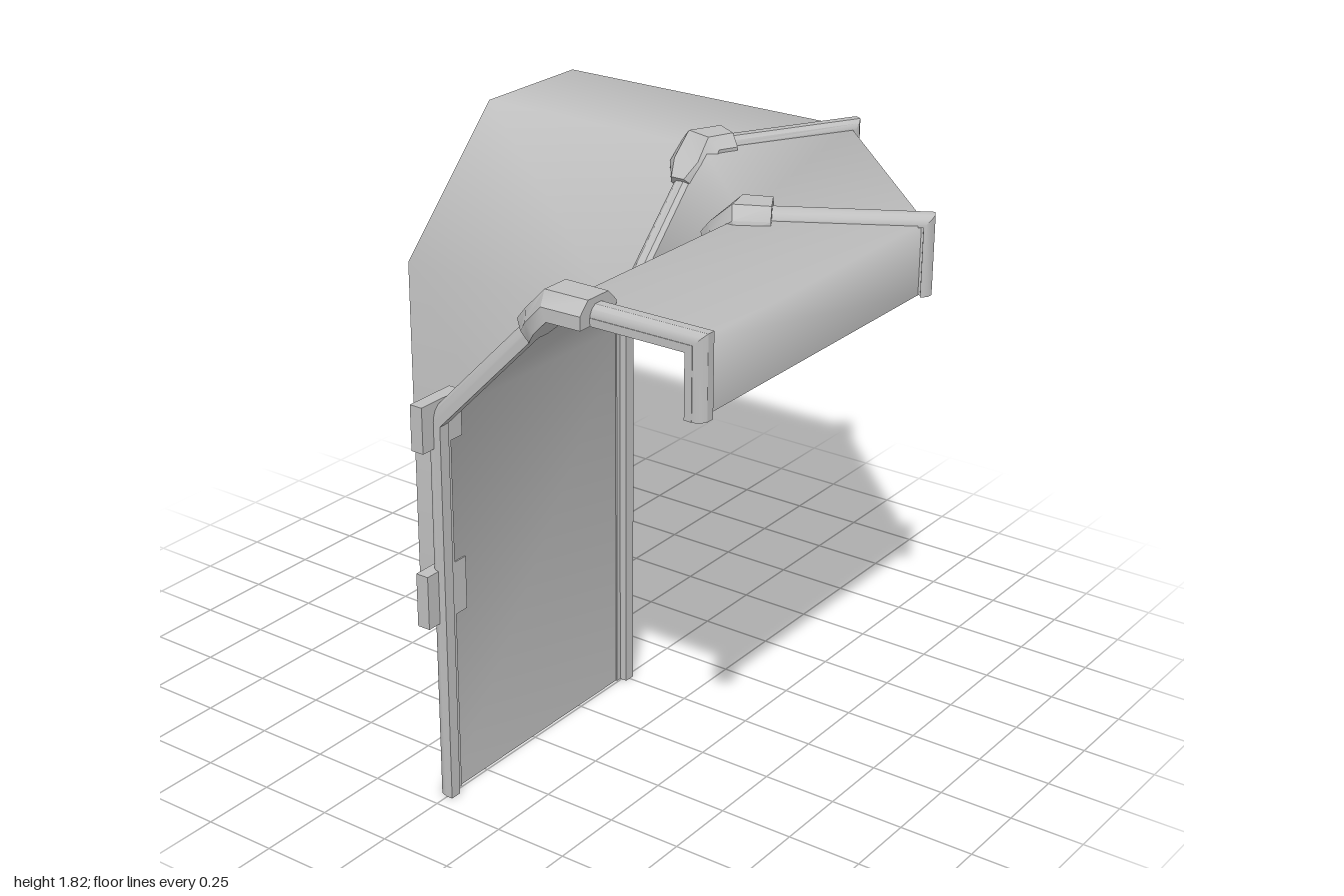
import * as THREE from 'three';
import { toCreasedNormals } from 'three/addons/utils/BufferGeometryUtils.js';

const V = (x, y, z) => new THREE.Vector3(x, y, z);
const UP = V(0, 1, 0);

// Wall line: floor, wall top, roof bend, roof edge, lip bottom
const section = (z, edgeZ) => [
  V(-0.01, 0, z), V(-0.01, 1.3, z), V(0.45, 1.77, z), V(0.93, 1.77, edgeZ), V(0.93, 1.54, edgeZ),
];
// Mirror across the corner diagonal
const mirror = (pts) => pts.map((p) => V(-p.z - 0.05, p.y, -p.x - 0.05));

// Join equal rings of points into a surface, optionally closed with end caps
function loft(rings, closed) {
  const n = rings[0].length, pos = [], idx = [];
  rings.forEach((r) => r.forEach((p) => pos.push(p.x, p.y, p.z)));
  for (let i = 0; i < rings.length - 1; i++) {
    for (let j = 0; j < (closed ? n : n - 1); j++) {
      const k = (j + 1) % n, a = i * n + j, b = i * n + k, c = a + n, d = b + n;
      idx.push(a, b, d, a, d, c);
    }
  }
  if (closed) {
    const ring2d = closed.map(([u, v]) => new THREE.Vector2(u, v));
    const last = (rings.length - 1) * n;
    THREE.ShapeUtils.triangulateShape(ring2d, []).forEach(([a, b, c]) => {
      idx.push(a, c, b, last + a, last + b, last + c);
    });
  }
  const g = new THREE.BufferGeometry();
  g.setAttribute('position', new THREE.Float32BufferAttribute(pos, 3));
  g.setIndex(idx);
  g.computeVertexNormals();
  return g;
}

// Direction, sideways and outward vectors of each leg of a rib path
function legFrames(pts) {
  const dirs = pts.slice(1).map((p, i) => p.clone().sub(pts[i]).normalize());
  const slopeW = V(dirs[1].x, 0, dirs[1].z).normalize().cross(UP);
  const roofW = dirs[2].clone().cross(UP);
  return dirs.map((d, i) => {
    const w = i < 2 ? slopeW : roofW;
    return { d, w, n: w.clone().cross(d) };
  });
}
const mitre = (a, b) => a.clone().add(b).divideScalar(1 + a.dot(b));
const place = (p, w, n, profile, scale = 1) =>
  profile.map(([u, v]) => p.clone().addScaledVector(w, u * scale).addScaledVector(n, v));

// Rib: rounded outer cap with a narrow inner flange
const ribProfile = (shift) => [
  [-0.038, -0.005], [-0.02 + shift, -0.005], [-0.02 + shift, -0.03], [0.02 + shift, -0.03],
  [0.02 + shift, -0.005], [0.038, -0.005], [0.038, 0.004], [0.03, 0.019], [0.014, 0.03],
  [-0.014, 0.03], [-0.03, 0.019], [-0.038, 0.004],
];
function ribGeometry(pts, shift) {
  const f = legFrames(pts), profile = ribProfile(shift);
  const rings = pts.map((p, i) => {
    const a = f[Math.max(i - 1, 0)], b = f[Math.min(i, f.length - 1)];
    return place(p, mitre(a.w, b.w), mitre(a.n, b.n), profile);
  });
  return toCreasedNormals(loft(rings, profile), 0.6);
}

// Joint: bevelled bracket folded over the roof bend
const jointProfile = [[-1, -0.03], [1, -0.03], [1, 0.012], [0.55, 0.05], [-0.55, 0.05], [-1, 0.012]];
function jointGeometry(pts, roofLength) {
  const f = legFrames(pts), s = f[1], r = f[2], p = pts[2];
  const at = (d, len) => p.clone().addScaledVector(d, len);
  const rings = [
    place(at(s.d, -0.15), s.w, s.n, jointProfile, 0.045),
    place(at(s.d, -0.08), s.w, s.n, jointProfile, 0.085),
    place(p, mitre(s.w, r.w), mitre(s.n, r.n), jointProfile, 0.088),
    place(at(r.d, roofLength), r.w, r.n, jointProfile, 0.085),
  ];
  return toCreasedNormals(loft(rings, jointProfile), 0.6);
}

export function createModel() {
  const model = new THREE.Group();
  const grey = new THREE.MeshStandardMaterial({ color: 0xbfbfbf, side: THREE.DoubleSide });
  grey.name = 'grey';
  const add = (name, geometry) => {
    const mesh = new THREE.Mesh(geometry, grey);
    mesh.name = name;
    model.add(mesh);
    return mesh;
  };

  const frontEnd = section(0.91, 0.91);
  const cornerFront = section(0, -0.28);
  const cornerBack = mirror(cornerFront);
  const sideEnd = mirror(frontEnd);
  sideEnd.forEach((p) => { p.x = -0.96; });

  // Smooth bent wall and roof sheet
  add('wallAndRoof', loft([frontEnd, cornerFront, cornerBack, sideEnd], null));

  // Ribs with their roof joints
  [['front', frontEnd, 0.02, 0.13], ['cornerFront', cornerFront, 0, 0.09], ['cornerBack', cornerBack, 0, 0.09]]
    .forEach(([name, pts, shift, roofLength]) => {
      add(name + 'Rib', ribGeometry(pts, shift));
      add(name + 'Joint', jointGeometry(pts, roofLength));
    });

  // Clamps on the front post
  [[0.62, 0.8], [1.21, 1.36]].forEach(([low, high], i) => {
    add('clamp' + (i + 1), new THREE.BoxGeometry(0.045, high - low, 0.18))
      .position.set(-0.028, (low + high) / 2, 0.91);
  });
  return model;
}
